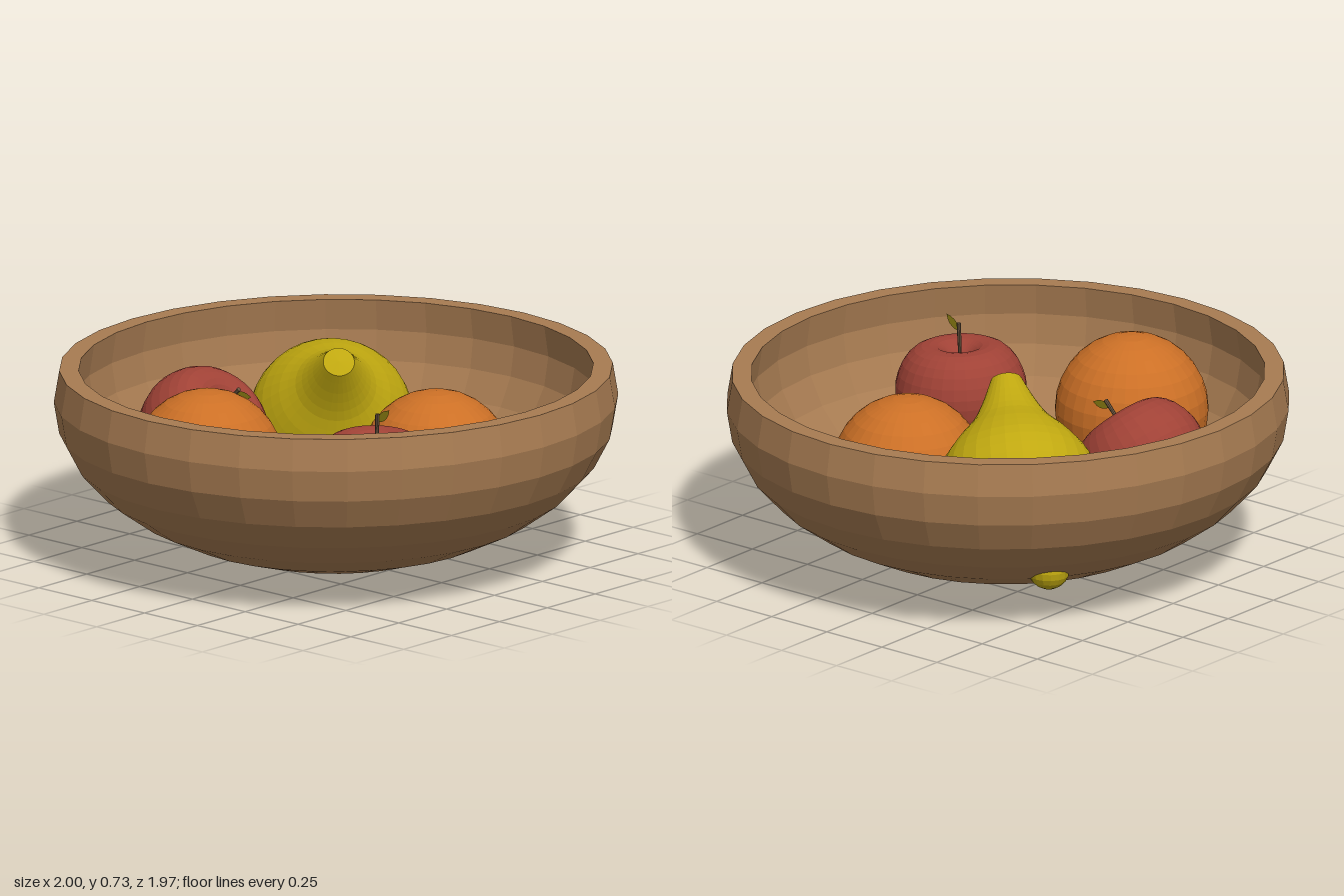
import * as THREE from 'three';

const mat = (name, color, extra = {}) => {
  const m = new THREE.MeshStandardMaterial({ color, flatShading: true, ...extra });
  m.name = name;
  return m;
};

export function createModel() {
  const group = new THREE.Group();
  const wood = mat('wood', 0xa87c52);
  const orangePeel = mat('orangePeel', 0xcc7026);
  const redSkin = mat('redSkin', 0xa04236);
  const pearSkin = mat('pearSkin', 0xc0a810);
  const stemBrown = mat('stemBrown', 0x6b5640);
  const leafGreen = mat('leafGreen', 0x8a7c12, { side: THREE.DoubleSide });

  const add = (parent, name, geometry, material, x = 0, y = 0, z = 0) => {
    const mesh = new THREE.Mesh(geometry, material);
    mesh.name = name;
    mesh.position.set(x, y, z);
    parent.add(mesh);
    return mesh;
  };
  const vec2 = (list) => list.map(([r, y]) => new THREE.Vector2(r, y));
  // Smooth lathe profile; clamped so the curve never crosses the axis
  const profile = (list, n) => {
    const pts = new THREE.SplineCurve(vec2(list)).getPoints(n);
    pts.forEach((p) => { p.x = Math.max(0, p.x); });
    return pts;
  };

  // Bowl: thick-walled squashed half sphere with a flat, slightly drawn-in rim
  const bowlProfile = [];
  const step = Math.PI / 16;
  for (let i = 0; i <= 9; i++) {
    bowlProfile.push([Math.sin(i * step), 0.58 - 0.58 * Math.cos(i * step)]);
  }
  bowlProfile.push([0.912, 0.693]);
  for (let i = 8; i >= 0; i--) {
    bowlProfile.push([0.93 * Math.sin(i * step), 0.58 - 0.54 * Math.cos(i * step)]);
  }
  const bowl = add(group, 'bowl', new THREE.LatheGeometry(vec2(bowlProfile), 32), wood);
  bowl.scale.z = 0.983;

  // Oranges
  const orangeGeo = new THREE.SphereGeometry(0.27, 32, 16);
  add(group, 'orangeLeft', orangeGeo, orangePeel, -0.553, 0.43, -0.107);
  add(group, 'orangeFront', orangeGeo, orangePeel, 0.24, 0.335, 0.257);

  // Apples: dimpled body, thin stem and a small upright leaf
  const appleGeo = new THREE.LatheGeometry(profile([
    [0, -0.165], [0.05, -0.195], [0.12, -0.19], [0.19, -0.13], [0.225, -0.03],
    [0.23, 0.05], [0.2, 0.13], [0.15, 0.178], [0.09, 0.185], [0.045, 0.16], [0, 0.12],
  ], 22), 32);
  const stemGeo = new THREE.CylinderGeometry(0.008, 0.005, 0.15, 8);
  const leafShape = new THREE.Shape();
  leafShape.moveTo(0, 0);
  leafShape.quadraticCurveTo(0.002, 0.045, 0.055, 0.055);
  leafShape.quadraticCurveTo(0.05, 0.008, 0, 0);
  const leafGeo = new THREE.ShapeGeometry(leafShape, 5).rotateY(-Math.PI / 2);

  const addApple = (name, x, y, z, tilt) => {
    const apple = new THREE.Group();
    apple.name = name;
    add(apple, 'appleBody', appleGeo, redSkin);
    add(apple, 'appleStem', stemGeo, stemBrown, 0, 0.19, 0);
    add(apple, 'appleLeaf', leafGeo, leafGreen, 0, 0.235, 0);
    apple.position.set(x, y, z);
    apple.rotation.x = tilt;
    group.add(apple);
  };
  addApple('appleBack', -0.193, 0.405, -0.465, 0.75);
  addApple('appleFront', -0.32, 0.41, 0.476, 0.04);

  // Pear: round body tapering to a blunt neck, leaning towards the bowl centre
  const pear = new THREE.Group();
  pear.name = 'pear';
  const pearProfile = profile([
    [0, -0.29], [0.111, -0.268], [0.205, -0.205], [0.268, -0.111], [0.29, 0],
    [0.268, 0.105], [0.205, 0.2], [0.14, 0.275], [0.095, 0.355], [0.055, 0.45],
  ], 22);
  pearProfile.push(new THREE.Vector2(0, 0.455));
  add(pear, 'pearBody', new THREE.LatheGeometry(pearProfile, 32), pearSkin);
  pear.position.set(0.295, 0.39, -0.29);
  pear.quaternion.setFromUnitVectors(
    new THREE.Vector3(0, 1, 0), new THREE.Vector3(-0.51, 0.665, 0.543).normalize());
  group.add(pear);
  // Blossom end that pokes through the bowl wall
  add(group, 'pearBlossomEnd', new THREE.SphereGeometry(0.075, 16, 10), pearSkin, 0.425, 0.2, -0.535);

  return group;
}
